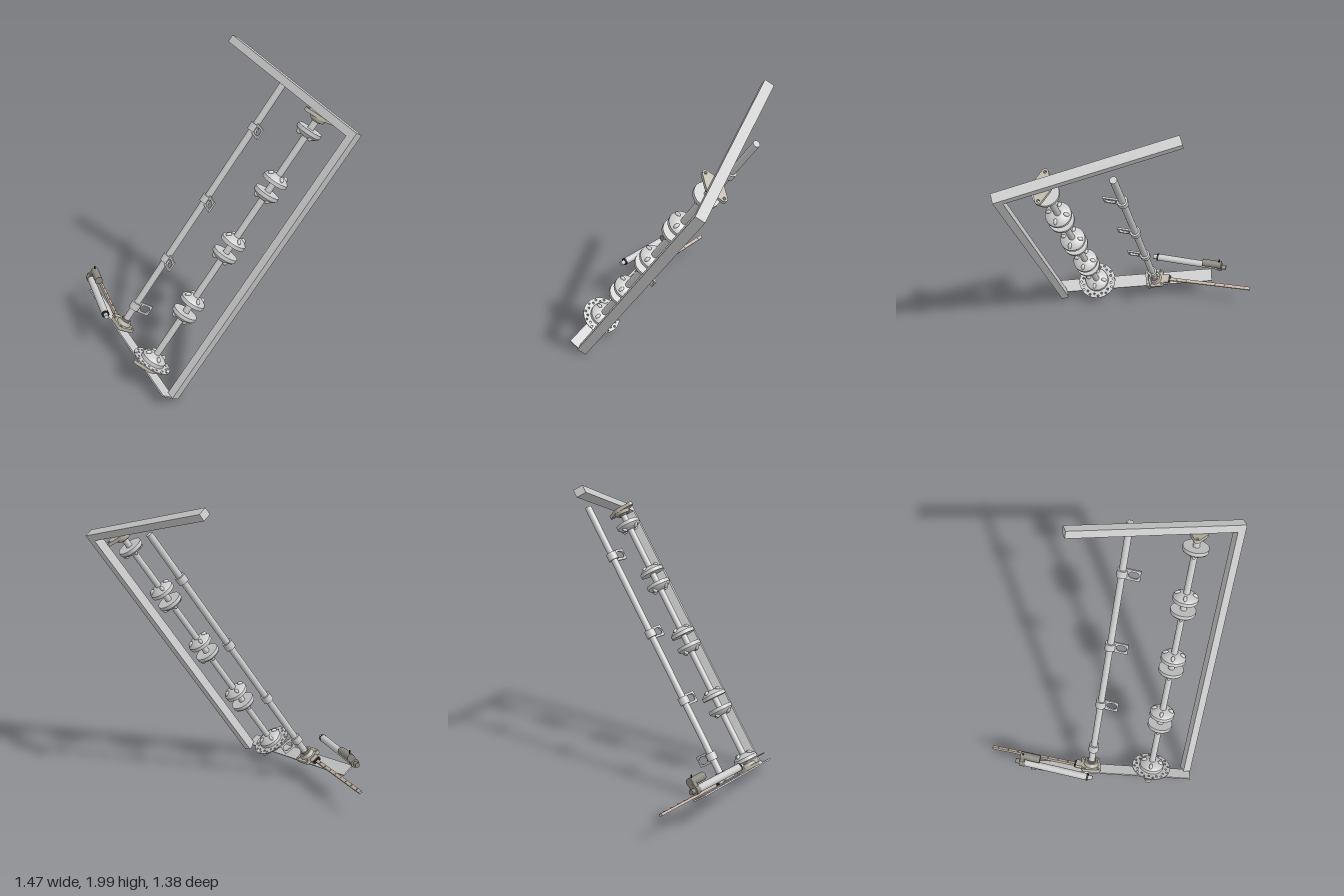
import * as THREE from 'three';

const mat = (color = 0xcccccc) => new THREE.MeshStandardMaterial({ color, roughness: 0.7 });
const GREY = mat(), BEIGE = mat(0xbcb7aa), DARK = mat(0x8c8980), BLACK = mat(0x2a2a2a), TAN = mat(0xc4b2a4);

function add(parent, name, geo, material, x = 0, y = 0, z = 0) {
  const m = new THREE.Mesh(geo, material);
  m.name = name;
  m.position.set(x, y, z);
  parent.add(m);
  return m;
}
function group(parent, name, x = 0, y = 0, z = 0) {
  const g = new THREE.Group();
  g.name = name;
  g.position.set(x, y, z);
  parent.add(g);
  return g;
}
const box = (w, h, d) => new THREE.BoxGeometry(w, h, d);
const cyl = (r, h, r2 = r) => new THREE.CylinderGeometry(r2, r, h, 32);
const rod = (r, h) => cyl(r, h).rotateX(Math.PI / 2);
const circle = (x, y, r) => new THREE.Path().absarc(x, y, r, 0, Math.PI * 2);

// flat plate lying in the XZ plane, thickness upwards
const plate = (shape, h) => new THREE.ExtrudeGeometry(shape, { depth: h, bevelEnabled: false, curveSegments: 16 }).rotateX(-Math.PI / 2);

// clamping disc: rim, domed hub and four bolt lobes; dir -1 turns it over
function clampDisc(parent, x, y, z, dir) {
  const g = group(parent, 'clampDisc', x, y, z);
  if (dir < 0) g.rotation.x = Math.PI;
  // doubled points keep the rim edges sharp
  const pts = [[0.02, 0], [0.082, 0], [0.082, 0], [0.082, 0.024], [0.082, 0.024], [0.074, 0.033], [0.06, 0.043],
    [0.044, 0.05], [0.03, 0.054], [0.03, 0.054], [0.02, 0.054]].map(p => new THREE.Vector2(...p));
  add(g, 'discBody', new THREE.LatheGeometry(pts, 40), GREY);
  for (let i = 0; i < 4; i++) {
    const a = i * Math.PI / 2;
    const lobe = add(g, 'boltLobe', new THREE.SphereGeometry(1, 16, 10).scale(0.02, 0.013, 0.012), GREY,
      Math.cos(a) * 0.057, 0.046, -Math.sin(a) * 0.057);
    lobe.rotation.set(0, a, -0.5, 'YXZ');
  }
}

// two-bolt flange bearing
function flangeBearing(parent, x, y, z, dir) {
  const g = group(parent, 'flangeBearing', x, y, z);
  if (dir < 0) g.rotation.x = Math.PI;
  const d = 0.09, R = 0.058, r = 0.02, a = Math.acos((R - r) / d), P = Math.PI;
  const s = new THREE.Shape();
  s.absarc(d, 0, r, -a, a);
  s.absarc(0, 0, R, a, P - a);
  s.absarc(-d, 0, r, P - a, P + a);
  s.absarc(0, 0, R, P + a, 2 * P - a);
  s.holes.push(circle(d, 0, 0.009), circle(-d, 0, 0.009));
  add(g, 'bearingFlange', plate(s, 0.022), BEIGE);
  add(g, 'bearingHousing', cyl(0.054, 0.02, 0.046), BEIGE, 0, 0.032);
  add(g, 'bearingRing', cyl(0.03, 0.012), DARK, 0, 0.045);
}

// collar with a slotted lug reaching out along +z
function lugCollar(parent, y, turn = 0) {
  const g = group(parent, 'lugCollar', 0, y, 0);
  g.rotation.y = turn;
  add(g, 'collar', cyl(0.034, 0.05), GREY);
  const s = new THREE.Shape();
  s.moveTo(0.022, -0.037).lineTo(0.117, -0.037).lineTo(0.117, 0.037).lineTo(0.022, 0.037);
  const slot = new THREE.Path();
  slot.absarc(0.085, 0, 0.023, -Math.PI / 2, Math.PI / 2);
  slot.absarc(0.064, 0, 0.023, Math.PI / 2, Math.PI * 1.5);
  s.holes.push(slot);
  const lug = new THREE.ExtrudeGeometry(s, { depth: 0.012, bevelEnabled: false });
  add(g, 'slottedLug', lug.translate(0, 0, -0.006).rotateY(-Math.PI / 2), GREY);
}

export function createModel() {
  const model = new THREE.Group();
  model.name = 'shaftFrame';

  // everything below shares the slanted shaft direction as its y axis
  const tilt = group(model, 'tiltedAssembly');
  tilt.rotation.z = -0.597;

  // square-bar frame, turned about the shaft direction
  const frame = group(tilt, 'frame');
  frame.rotation.y = THREE.MathUtils.degToRad(27);
  add(frame, 'sideBeam', box(0.065, 2.017, 0.05), GREY, -0.626, 0.7865, 0.4);
  add(frame, 'topBeam', box(0.065, 0.05, 1.126), GREY, -0.626, 1.77, -0.138);

  // thin bar across the lower end
  const bar = add(tilt, 'bottomBar', box(0.09, 0.01, 1.108), GREY, -0.56, -0.217, 0.14);
  bar.rotation.y = 0.244;

  // disc shaft with its clamping discs
  const discShaft = group(tilt, 'discShaft', -0.5, 0, 0.407);
  add(discShaft, 'shaft', cyl(0.021, 1.95), GREY, 0, 0.765, 0);
  for (const y of [1.212, 0.745, 0.278]) {
    clampDisc(discShaft, 0, y + 0.035, 0, 1);
    clampDisc(discShaft, 0, y - 0.035, 0, -1);
  }
  clampDisc(discShaft, 0, 1.64, 0, -1);
  clampDisc(discShaft, 0, -0.154, 0, 1);
  flangeBearing(discShaft, 0, -0.212, 0, 1);
  flangeBearing(discShaft, 0, 1.745, 0, -1);

  // perforated index plate
  const ring = new THREE.Shape().absarc(0, 0, 0.132, 0, Math.PI * 2);
  for (let i = 0; i < 24; i++) {
    const a = i / 24 * Math.PI * 2, r = i % 2 ? 0.117 : 0.103;
    ring.holes.push(circle(Math.cos(a) * r, Math.sin(a) * r, 0.0075));
  }
  add(discShaft, 'indexPlate', plate(ring, 0.006), GREY, 0, -0.162, 0);

  // lug shaft with its collars
  const lugShaft = group(tilt, 'lugShaft', -0.592, 0, 0);
  add(lugShaft, 'shaft', cyl(0.022, 1.955), GREY, 0, 0.787, 0);
  for (const y of [1.404, 0.845, 0.367]) lugCollar(lugShaft, y);
  lugCollar(lugShaft, -0.025, Math.PI / 2);

  // four-bolt square bearing under the lug shaft
  const square = group(lugShaft, 'squareBearing', 0, -0.198, 0);
  square.rotation.y = 0.244;
  const sq = new THREE.Shape(), c = 0.046;
  [[1, 1], [-1, 1], [-1, -1], [1, -1]].forEach(([sx, sy], i) => {
    sq.absarc(sx * c, sy * c, 0.018, i * Math.PI / 2, (i + 1) * Math.PI / 2);
    sq.holes.push(circle(sx * c, sy * c, 0.008));
  });
  add(square, 'squareFlange', plate(sq, 0.024), BEIGE);
  add(square, 'bearingHousing', cyl(0.05, 0.026, 0.04), BEIGE, 0, 0.036);
  add(square, 'bearingRing', cyl(0.03, 0.014), DARK, 0, 0.054);

  // slide rail running to the back
  const rail = group(tilt, 'slideRail', -0.605, -0.197, -0.07);
  rail.rotation.y = 0.04;
  add(rail, 'rail', box(0.022, 0.016, 0.62), TAN, 0, 0, -0.31);
  add(rail, 'slideBlock', box(0.06, 0.022, 0.07), BEIGE, 0, 0.006, 0.005);
  add(rail, 'endStop', box(0.05, 0.02, 0.012), BLACK, 0, 0.004, -0.036);
  for (let i = 0; i < 8; i++) add(rail, 'railScrew', cyl(0.005, 0.004), DARK, 0, 0.009, -0.09 - i * 0.07);

  // linear actuator lying along z
  const act = group(model, 'actuator', -0.708, 0.287, 0);
  add(act, 'tube', rod(0.024, 0.46), GREY, 0, 0, -0.23);
  add(act, 'tubeSeal', rod(0.025, 0.012), BLACK, 0, 0, 0.004);
  add(act, 'pistonRod', rod(0.015, 0.035), GREY, 0, 0, 0.022);
  add(act, 'gearHousing', rod(0.028, 0.035), DARK, 0, 0, -0.45);
  const bridge = add(act, 'gearBridge', box(0.055, 0.045, 0.03), DARK, 0.017, 0.023, -0.452);
  bridge.rotation.z = 0.95;
  add(act, 'rearClevis', rod(0.016, 0.035), DARK, 0, 0, -0.48);
  add(act, 'motor', rod(0.026, 0.135), DARK, 0.034, 0.044, -0.4);
  add(act, 'cableStub', cyl(0.005, 0.03), BLACK, 0.034, 0.075, -0.45);

  return model;
}
